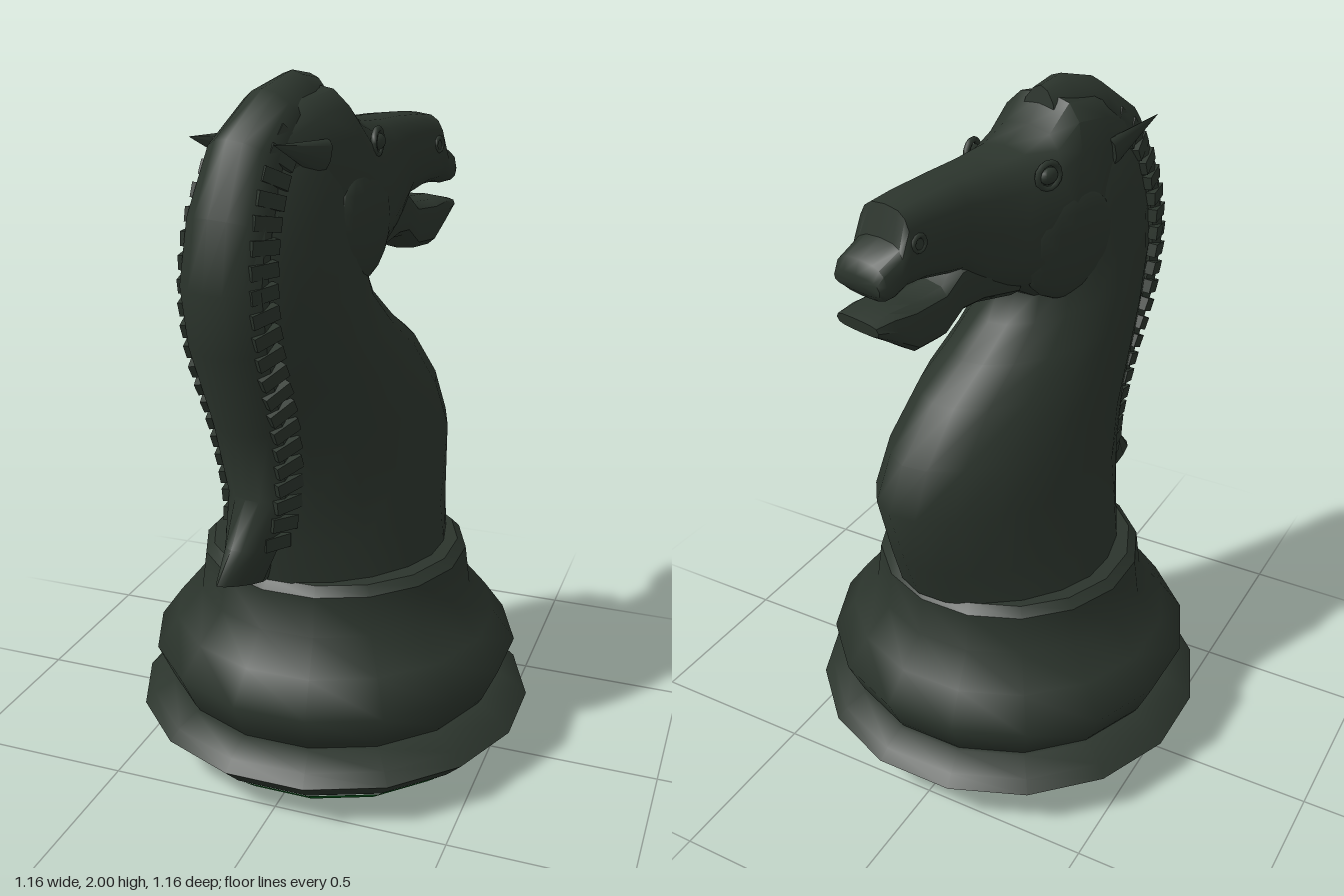
import * as THREE from 'three';
import { toCreasedNormals } from 'three/addons/utils/BufferGeometryUtils.js';

const ebony = new THREE.MeshStandardMaterial({ color: 0x2b342c });
ebony.name = 'dark ebony';
const felt = new THREE.MeshStandardMaterial({ color: 0x025a1c });
felt.name = 'green felt';

function add(parent, name, geometry, material = ebony) {
  const mesh = new THREE.Mesh(geometry, material);
  mesh.name = name;
  parent.add(mesh);
  return mesh;
}

// Skin over rings [backF, backY, frontF, frontY, halfWidth]; F is the distance towards the nose (-z).
// power under 1 squares the section, taper widens (+) or narrows (-) its front end.
function loft(rings, { sides = 18, power = 1, taper = 0, crease = 0.6 } = {}) {
  const pos = [], idx = [];
  const bend = (v) => Math.sign(v) * Math.pow(Math.abs(v), power);
  for (const [bf, by, ff, fy, w] of rings) {
    for (let j = 0; j < sides; j++) {
      const t = (j / sides) * Math.PI * 2;
      const c = bend(Math.cos(t)), s = bend(Math.sin(t));
      const k = (1 + c) / 2;
      pos.push(-w * s * (1 + taper * c), by + (fy - by) * k, -(bf + (ff - bf) * k));
    }
  }
  for (let i = 0; i < rings.length - 1; i++) {
    for (let j = 0; j < sides; j++) {
      const a = i * sides + j, b = i * sides + (j + 1) % sides;
      idx.push(a, b, b + sides, a, b + sides, a + sides);
    }
  }
  // End caps
  [0, rings.length - 1].forEach((i, end) => {
    const [bf, by, ff, fy] = rings[i];
    const centre = pos.length / 3;
    pos.push(0, (by + fy) / 2, -(bf + ff) / 2);
    for (let j = 0; j < sides; j++) {
      const a = i * sides + j, b = i * sides + (j + 1) % sides;
      if (end) idx.push(centre, a, b);
      else idx.push(centre, b, a);
    }
  });
  const g = new THREE.BufferGeometry();
  g.setAttribute('position', new THREE.Float32BufferAttribute(pos, 3));
  g.setIndex(idx);
  return toCreasedNormals(g, crease);
}

function turned(points, crease = 0.6) {
  const profile = points.map(([r, y]) => new THREE.Vector2(r, y));
  return toCreasedNormals(new THREE.LatheGeometry(profile, 16, Math.PI / 16), crease);
}

function createBase(parent) {
  add(parent, 'feltPad', turned([[0, 0], [0.45, 0.008], [0.505, 0.055]], 0.9), felt);
  add(parent, 'footRim', turned([[0.49, 0.05], [0.53, 0.075], [0.59, 0.135], [0.56, 0.165], [0.5, 0.2], [0.48, 0.2]]));
  add(parent, 'pedestal', turned([[0.48, 0.19], [0.5, 0.22], [0.545, 0.32], [0.48, 0.41], [0.405, 0.5],
    [0.39, 0.615]], 1.4));
  add(parent, 'collar', turned([[0.39, 0.615], [0.365, 0.64], [0, 0.645]]));
}

function createNeck(parent) {
  add(parent, 'neck', loft([
    [-0.37, 0.63, 0.39, 0.63, 0.325],
    [-0.39, 0.75, 0.43, 0.75, 0.3],
    [-0.41, 0.88, 0.485, 0.95, 0.275],
    [-0.44, 1.05, 0.43, 1.08, 0.255],
    [-0.49, 1.2, 0.31, 1.22, 0.235],
    [-0.53, 1.34, 0.19, 1.30, 0.215],
    [-0.55, 1.48, 0.09, 1.38, 0.2],
    [-0.54, 1.62, 0.05, 1.46, 0.185],
    [-0.49, 1.77, 0.03, 1.56, 0.17],
    [-0.38, 1.89, 0.0, 1.68, 0.14],
    [-0.24, 1.95, -0.05, 1.80, 0.08],
  ], { sides: 20, power: 1.12, crease: 0.9 }));
}

function createMane(parent) {
  // Crest running from the tail tip up over the poll
  add(parent, 'maneCrest', loft([
    [-0.575, 0.7, -0.36, 0.64, 0.035],
    [-0.51, 0.78, -0.34, 0.74, 0.065],
    [-0.44, 0.9, -0.34, 0.9, 0.095],
    [-0.485, 1.1, -0.36, 1.12, 0.115],
    [-0.57, 1.33, -0.43, 1.35, 0.125],
    [-0.595, 1.5, -0.45, 1.5, 0.127],
    [-0.565, 1.68, -0.42, 1.63, 0.12],
    [-0.48, 1.86, -0.36, 1.76, 0.105],
    [-0.33, 1.965, -0.27, 1.84, 0.09],
    [-0.2, 2.0, -0.16, 1.84, 0.075],
    [-0.12, 1.985, -0.1, 1.83, 0.06],
  ], { sides: 12, taper: 0.2, crease: 0.8 }));

  // Short combed locks lying against both sides of the crest
  const line = new THREE.CatmullRomCurve3([
    [-0.4, 0.78], [-0.38, 0.9], [-0.41, 1.1], [-0.485, 1.33], [-0.505, 1.5], [-0.475, 1.67], [-0.4, 1.8], [-0.3, 1.88],
  ].map(([f, y]) => new THREE.Vector3(0, y, -f)));
  const lockShape = new THREE.BoxGeometry(0.026, 0.038, 0.08);
  const count = 22;
  for (const side of [-1, 1]) {
    for (let i = 0; i < count; i++) {
      const u = i / (count - 1);
      const p = line.getPointAt(u);
      const d = line.getTangentAt(u);
      const lock = add(parent, 'maneLock', lockShape);
      lock.position.set(side * (0.07 + 0.05 * Math.pow(Math.sin(u * Math.PI), 0.6)), p.y, p.z);
      lock.rotation.set(Math.atan2(d.z, d.y) + 0.15, -side * 0.35, 0);
    }
  }
}

function createHead(parent) {
  add(parent, 'skull', loft([
    [-0.4, 1.88, -0.25, 1.48, 0.12],
    [-0.26, 1.95, -0.14, 1.43, 0.16],
    [-0.14, 1.965, -0.02, 1.43, 0.165],
    [-0.07, 1.895, 0.07, 1.485, 0.155],
    [0.02, 1.86, 0.13, 1.505, 0.135],
    [0.14, 1.85, 0.2, 1.54, 0.115],
    [0.25, 1.845, 0.265, 1.6, 0.1],
    [0.38, 1.835, 0.39, 1.62, 0.092],
    [0.445, 1.825, 0.455, 1.62, 0.092],
    [0.465, 1.745, 0.5, 1.61, 0.092],
    [0.535, 1.71, 0.525, 1.61, 0.088],
    [0.55, 1.675, 0.545, 1.63, 0.08],
  ], { sides: 16, power: 0.65, taper: 0.06, crease: 0.8 }));
  add(parent, 'lowerJaw', loft([
    [0.06, 1.65, 0.08, 1.475, 0.115],
    [0.18, 1.65, 0.2, 1.495, 0.1],
    [0.265, 1.635, 0.265, 1.49, 0.09],
    [0.32, 1.59, 0.33, 1.44, 0.088],
    [0.43, 1.58, 0.42, 1.435, 0.088],
    [0.5, 1.575, 0.49, 1.485, 0.083],
    [0.555, 1.56, 0.55, 1.525, 0.075],
  ], { sides: 12, power: 0.6 }));

  const ball = new THREE.SphereGeometry(1, 16, 10);
  for (const side of [-1, 1]) {
    // Rounded cheek
    const cheek = add(parent, 'cheek', ball);
    cheek.scale.set(0.04, 0.155, 0.165);
    cheek.rotation.y = side * 0.12;
    cheek.position.set(side * 0.137, 1.6, 0.08);
    // Eye with heavy lid
    const eye = add(parent, 'eye', ball);
    eye.scale.set(0.016, 0.022, 0.03);
    eye.position.set(side * 0.135, 1.805, 0.0);
    const lid = add(parent, 'eyelid', new THREE.TorusGeometry(0.034, 0.009, 6, 14));
    lid.rotation.y = Math.PI / 2 + side * 0.25;
    lid.position.set(side * 0.133, 1.805, 0.0);
    // Nostril
    const nostril = add(parent, 'nostril', new THREE.TorusGeometry(0.02, 0.007, 6, 12));
    nostril.rotation.y = Math.PI / 2;
    nostril.position.set(side * 0.088, 1.74, -0.42);
    // Ear laid back against the crest
    const ear = add(parent, 'ear', new THREE.ConeGeometry(0.05, 0.22, 8));
    ear.scale.x = 0.5;
    ear.rotation.set(1.3, -side * 0.2, 0);
    ear.position.set(side * 0.128, 1.825, 0.36);
  }
}

export function createModel() {
  const model = new THREE.Group();
  model.name = 'chessKnight';
  createBase(model);
  // The horse is turned slightly on its base
  const horse = new THREE.Group();
  horse.name = 'horse';
  horse.rotation.y = -0.23;
  model.add(horse);
  createNeck(horse);
  createMane(horse);
  createHead(horse);
  return model;
}
